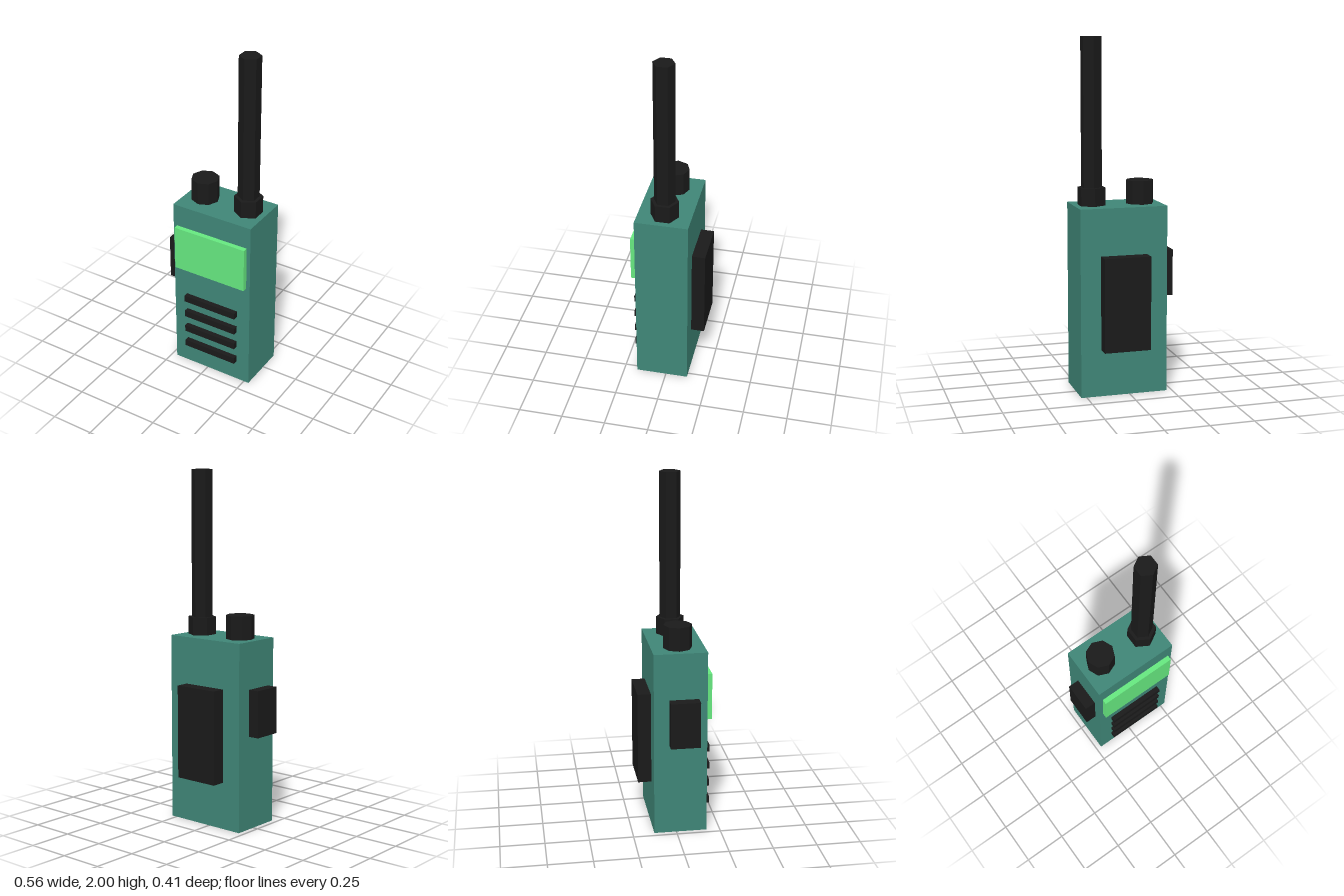
import * as THREE from 'three';

export function createModel() {
  const group = new THREE.Group();
  const mat = (name, color) => Object.assign(new THREE.MeshStandardMaterial({ color }), { name });
  const teal = mat('teal casing', 0x3f8677);
  const black = mat('black plastic', 0x1a1a1a);
  const green = mat('green display', 0x66e880);

  const add = (name, geometry, material, x, y, z) => {
    const mesh = new THREE.Mesh(geometry, material);
    mesh.name = name;
    mesh.position.set(x, y, z);
    group.add(mesh);
  };
  // Box given by its limits on each axis
  const box = (name, material, [x0, x1], [y0, y1], [z0, z1]) =>
    add(name, new THREE.BoxGeometry(x1 - x0, y1 - y0, z1 - z0), material,
      (x0 + x1) / 2, (y0 + y1) / 2, (z0 + z1) / 2);
  // Upright faceted prism
  const prism = (name, radius, sides, x, z, y0, y1) =>
    add(name, new THREE.CylinderGeometry(radius, radius, y1 - y0, sides), black,
      x, (y0 + y1) / 2, z);
  black.flatShading = true;

  const top = 1.067, front = 0.174, back = -0.127, right = -0.219;

  // Casing and display
  box('body', teal, [right, 0.281], [0, top], [back, front]);
  box('screen', green, [-0.196, 0.258], [0.668, 0.935], [front, 0.203]);

  // Speaker grille bars
  for (let i = 0; i < 4; i++) {
    const y = 0.148 + i * 0.1067;
    box('speakerBar' + (i + 1), black, [-0.137, 0.199], [y - 0.02, y + 0.02], [front, 0.203]);
  }

  // Talk button on the side and clip on the back
  box('talkButton', black, [-0.282, right], [0.535, 0.8], [-0.041, 0.126]);
  box('beltClip', black, [-0.102, 0.165], [0.268, 0.8], [-0.203, back]);

  // Knob and antenna on top
  prism('volumeKnob', 0.08, 8, -0.102, 0.023, top, 1.2);
  prism('antennaBase', 0.08, 6, 0.178, 0.023, top, 1.168);
  prism('antenna', 0.06, 6, 0.178, 0.023, 1.168, 2);

  return group;
}
